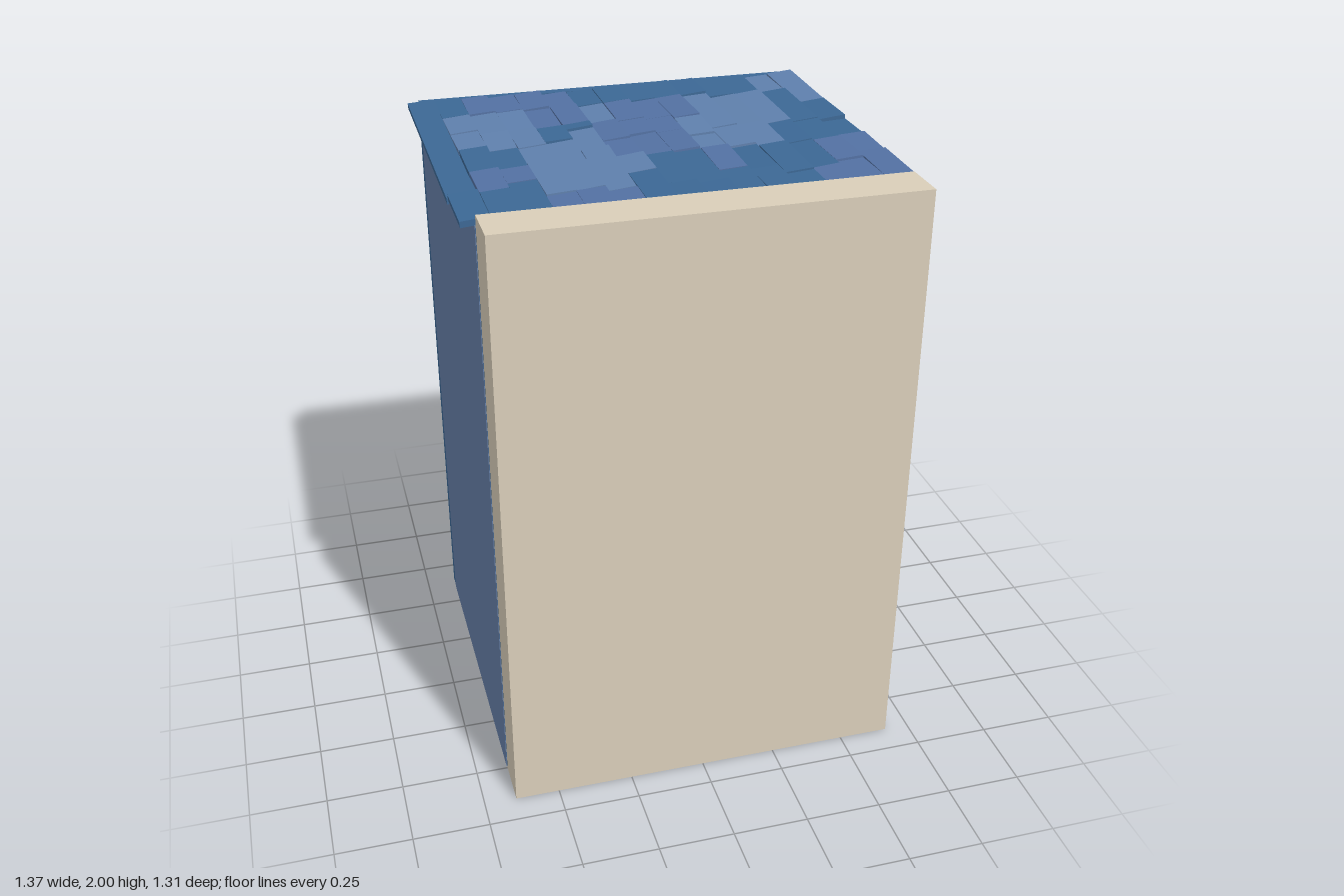
import * as THREE from 'three';

const mat = (color) => new THREE.MeshStandardMaterial({ color });
const CREAM = mat(0xd9ceb9);
const PANEL = mat(0x6680a8);
const SHINGLE = { A: mat(0x3c6895), B: mat(0x5f80ad), C: mat(0x5371a3) };

// small seeded generator for the hand-laid look
let seed = 7;
const jitter = (amount) => {
  seed = (seed * 16807) % 2147483647;
  return (seed / 2147483647 - 0.5) * 2 * amount;
};

// box given by its limits on each axis
function block(name, material, x0, x1, y0, y1, z0, z1) {
  const mesh = new THREE.Mesh(new THREE.BoxGeometry(x1 - x0, y1 - y0, z1 - z0), material);
  mesh.position.set((x0 + x1) / 2, (y0 + y1) / 2, (z0 + z1) / 2);
  mesh.name = name;
  return mesh;
}

// shingle columns from -x to +x: colours from back to front, and the joints between them
const COLUMNS = [
  ['AA', [0.27]],
  ['ABBACA', [-0.42, -0.25, -0.09, 0.11, 0.29]],
  ['CBBACA', [-0.43, -0.23, -0.06, 0.11, 0.24]],
  ['CBBBBC', [-0.44, -0.23, -0.06, 0.08, 0.36]],
  ['CCABBC', [-0.44, -0.23, -0.09, 0.11, 0.34]],
  ['CCABBC', [-0.45, -0.25, -0.2, 0.0, 0.36]],
  ['ABCCBA', [-0.44, -0.26, -0.07, 0.09, 0.24]],
  ['ACCCAA', [-0.44, -0.24, -0.1, 0.1, 0.35]],
  ['ACCCAA', [-0.44, -0.24, -0.1, 0.09, 0.37]],
  ['ACBBCA', [-0.45, -0.22, -0.05, 0.08, 0.28]],
  ['ABBBAA', [-0.45, -0.25, -0.1, 0.09, 0.3]],
  ['ABBAA', [-0.42, -0.1, 0.11, 0.36]],
  ['ABAAC', [-0.42, -0.1, 0.1, 0.34]],
  ['BAACC', [-0.41, -0.09, 0.1, 0.3]],
  ['BAACC', [-0.28, -0.08, 0.08, 0.25]],
];

function makeShingles() {
  const shingles = new THREE.Group();
  shingles.name = 'topShingles';
  const x0 = -0.688, pitch = 0.0915;
  COLUMNS.forEach(([colours, joints], i) => {
    const ends = [-0.612, ...joints, 0.493];
    [...colours].forEach((c, k) => {
      const x = x0 + i * pitch;
      const plank = block('shingle', SHINGLE[c], x, x + pitch - 0.003,
        1.963, 1.982, ends[k], ends[k + 1] - 0.002);
      plank.position.y += jitter(0.005);
      plank.rotation.set(jitter(0.02), jitter(0.012), 0.08 + jitter(0.03));
      shingles.add(plank);
    });
  });
  return shingles;
}

export function createModel() {
  const model = new THREE.Group();
  const L = -0.645, R = 0.668;
  // cream slab across the front
  model.add(block('frontSlab', CREAM, L, R, 0, 2, 0.5, 0.655));
  // blue core, with a slightly taller board along the back
  model.add(block('core', SHINGLE.A, L, R, 0, 1.96, -0.62, 0.5));
  model.add(block('backBoard', SHINGLE.A, L, R, 0, 1.975, -0.655, -0.62));
  // paler panels on both sides
  model.add(block('leftPanel', PANEL, R - 0.01, R + 0.002, 0.001, 1.963, -0.6, 0.493));
  model.add(block('rightPanel', PANEL, L - 0.002, L + 0.01, 0.001, 1.963, -0.6, 0.493));
  model.add(makeShingles());
  return model;
}
